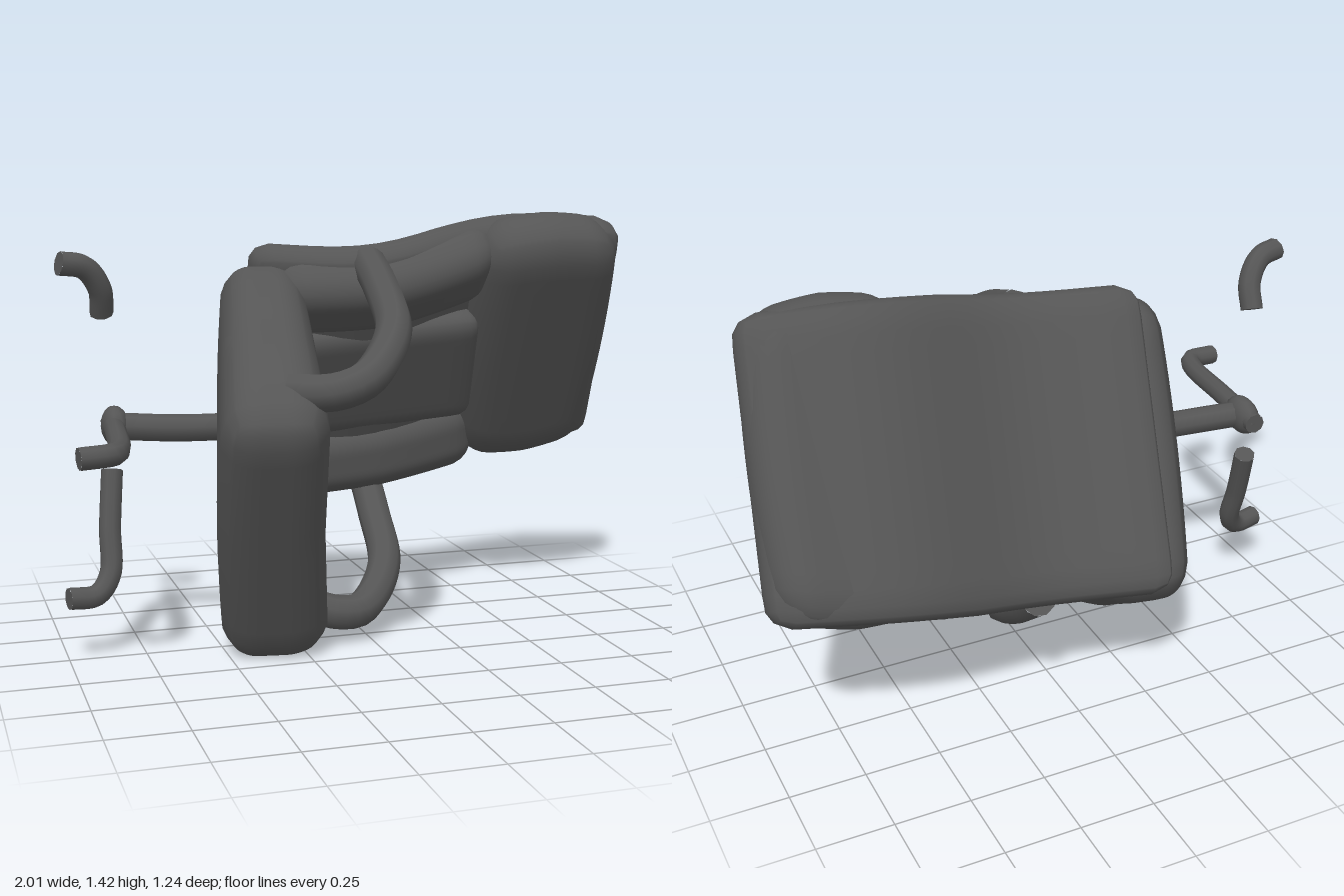
import * as THREE from 'three';
import { mergeVertices } from 'three/addons/utils/BufferGeometryUtils.js';

const material = new THREE.MeshStandardMaterial({ color: 0x555555 });

function addMesh(parent, name, geometry) {
  const mesh = new THREE.Mesh(geometry, material);
  mesh.name = name;
  parent.add(mesh);
  return mesh;
}

// Soft padded box: every vertex is pulled onto a rounded box, then bent by a rule
function cushion([w, h, d], r, bend = () => {}) {
  let g = new THREE.BoxGeometry(w, h, d, 18, 18, 10);
  g.deleteAttribute('normal');
  g.deleteAttribute('uv');
  g = mergeVertices(g);
  const p = g.attributes.position;
  const inner = new THREE.Vector3(w / 2 - r, h / 2 - r, d / 2 - r);
  const low = inner.clone().negate();
  const v = new THREE.Vector3();
  for (let i = 0; i < p.count; i++) {
    v.fromBufferAttribute(p, i);
    const core = v.clone().clamp(low, inner);
    v.sub(core).setLength(r).add(core);
    bend(v);
    p.setXYZ(i, v.x, v.y, v.z);
  }
  g.computeVertexNormals();
  return g;
}

// Bent bar through a few points, with closed ends
function bar(parent, name, points, radius) {
  const group = new THREE.Group();
  group.name = name;
  const curve = new THREE.CatmullRomCurve3(points.map((q) => new THREE.Vector3(...q)));
  addMesh(group, name + 'Tube', new THREE.TubeGeometry(curve, 28, radius, 9));
  for (const t of [0, 1]) {
    const cap = addMesh(group, name + 'End', new THREE.CircleGeometry(radius, 9));
    cap.position.copy(curve.getPoint(t));
    const out = curve.getTangent(t).multiplyScalar(t ? 1 : -1);
    cap.quaternion.setFromUnitVectors(new THREE.Vector3(0, 0, 1), out);
  }
  parent.add(group);
}

export function createModel() {
  const model = new THREE.Group();
  model.name = 'tippedArmchair';

  // The chair lies on its side: its own up points to +x, its front down and forward
  const body = new THREE.Group();
  body.name = 'chairBody';
  const c = Math.cos(Math.PI / 6), s = 0.5;
  body.quaternion.setFromRotationMatrix(new THREE.Matrix4().makeBasis(
    new THREE.Vector3(0, -c, -s), new THREE.Vector3(1, 0, 0), new THREE.Vector3(0, -s, c)));
  body.position.set(0, 0.64 * c, 0.64 * s);
  model.add(body);

  const upper = new THREE.Group();
  upper.name = 'upholstery';
  upper.position.x = 0.03;
  upper.rotation.z = 0.1;
  body.add(upper);

  // Seat, thinner to the rear, crowned, its top rising towards the left side
  const seat = addMesh(upper, 'seat', cushion([1.02, 0.32, 0.92], 0.12, (v) => {
    if (v.y > 0) v.y *= 1.08 + 0.35 * Math.max(0, v.x);
    else v.y *= 1.06 - 0.5 * v.x * v.x;
    v.y *= 0.92 + 0.2 * v.z;
    v.x *= v.z < 0 ? 1 - 0.25 * v.z * v.z : 1.02 - 0.1 * v.z * v.z;
    v.z += 0.03 * v.x;
  }));
  seat.position.set(0.03, -0.355, -0.3);
  seat.rotation.x = 0.16;

  // Back shell with a gentle lumbar curve
  const back = addMesh(upper, 'backShell', cushion([0.99, 1.29, 0.16], 0.078, (v) => {
    v.z += 0.05 * Math.cos((v.y + 0.24) * 6) * (1 - 0.3 * v.y);
    v.x *= 1 - 0.1 * Math.max(0, v.y);
    v.x -= 0.025 * (v.y + 0.4);
  }));
  back.position.set(-0.005, 0.325, -0.705);

  // Head cushion, rounded towards its top and bottom
  const head = addMesh(upper, 'headCushion', cushion([1.01, 0.54, 0.25], 0.122, (v) => {
    if (v.z > 0) v.z *= 1.08 - 2 * v.y * v.y;
    v.x *= 1 - 0.2 * Math.max(0, v.y) - 0.8 * v.y * v.y;
    v.y *= 1 - 0.4 * v.x * v.x;
    v.z -= 0.03 * v.x;
  }));
  head.position.set(-0.04, 0.7, -0.68);

  // Lower back pad between two side bolsters
  const pad = addMesh(upper, 'lumbarPad', cushion([0.44, 0.7, 0.14], 0.06));
  pad.position.set(0, 0.12, -0.635);
  for (const side of [-1, 1]) {
    const bolster = addMesh(upper, 'sideBolster', cushion([0.25, 0.76, 0.2], 0.09, (v) => {
      v.z += 0.04 * Math.cos(v.y * 4) - 0.13 * Math.max(0, v.y);
      v.x -= 0.04 * v.y;
    }));
    bolster.position.set(side * 0.36 - 0.005, 0.13, -0.65);
    bolster.rotation.y = -side * 0.32;

    // Armrest looping from the back to the seat front, the left one set higher
    const lift = side > 0 ? 0.005 : -0.03;
    bar(upper, side > 0 ? 'leftArm' : 'rightArm', [
      [0.46, 0.09, -0.64], [0.49, 0.08, -0.45], [0.5, 0.055, -0.22], [0.5, -0.02, -0.07],
      [0.49, -0.1, 0.01], [0.47, -0.19, 0.02], [0.44, -0.31, -0.04],
    ].map(([x, y, z]) => [side * x, y + lift, z]), 0.058);
  }

  // Column and hub under the seat
  bar(model, 'column', [[-0.42, 0.72, -0.04], [-0.62, 0.72, -0.06], [-0.83, 0.73, -0.1]], 0.045);
  const hub = addMesh(model, 'hub', new THREE.SphereGeometry(0.065, 10, 8));
  hub.position.set(-0.82, 0.73, -0.11);
  hub.scale.set(0.7, 1, 1.3);

  // Base legs, each bending away to its foot
  bar(model, 'frontLeg', [[-0.82, 0.73, -0.19], [-0.84, 0.73, 0.05], [-0.87, 0.72, 0.3],
    [-0.9, 0.72, 0.37], [-1, 0.715, 0.385]], 0.035);
  bar(model, 'upperLeg', [[-0.86, 1.1, -0.06], [-0.87, 1.18, -0.02], [-0.92, 1.25, 0.01],
    [-1, 1.265, 0.03]], 0.038);
  bar(model, 'lowerLeg', [[-0.83, 0.58, -0.13], [-0.85, 0.4, -0.07], [-0.86, 0.26, -0.02],
    [-0.91, 0.2, 0.01], [-1, 0.2, 0.03]], 0.036);

  return model;
}
